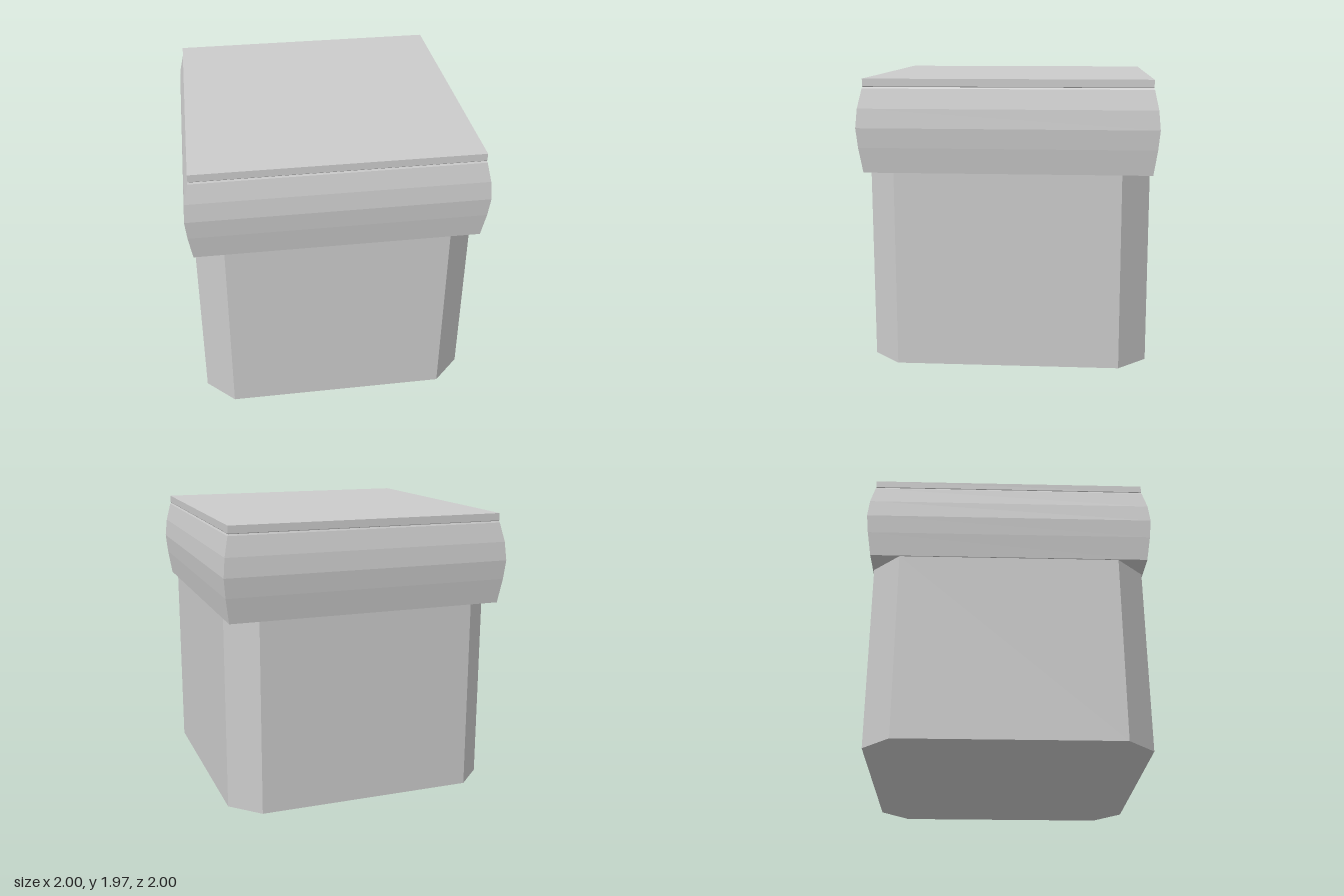
import * as THREE from 'three';

const material = new THREE.MeshStandardMaterial({ color: 0xcccccc, flatShading: true });

// Square solid with mitred corners, from a [half width, height] profile running bottom to top
function squareLathe(profile) {
  const points = profile.map(([half, y]) => new THREE.Vector2(half * Math.SQRT2, y));
  const geometry = new THREE.LatheGeometry(points, 4, Math.PI / 4).toNonIndexed();
  geometry.computeVertexNormals();
  return geometry;
}

// Upright prism with a square plan and chamfered corners
function chamferedPrism(half, flat, height) {
  const shape = new THREE.Shape([
    [half, -flat], [half, flat], [flat, half], [-flat, half],
    [-half, flat], [-half, -flat], [-flat, -half], [flat, -half],
  ].map(([x, y]) => new THREE.Vector2(x, y)));
  const geometry = new THREE.ExtrudeGeometry(shape, { depth: height, bevelEnabled: false });
  return geometry.rotateX(-Math.PI / 2);
}

export function createModel() {
  const group = new THREE.Group();
  group.name = 'pedestal';

  const body = new THREE.Mesh(chamferedPrism(0.955, 0.762, 1.34), material);
  body.name = 'body';

  // Bulging moulding with a narrow ledge and a straight lip on top
  const cap = new THREE.Mesh(squareLathe([
    [0, 1.34], [0.963, 1.34], [0.988, 1.51], [1, 1.642], [0.988, 1.77],
    [0.959, 1.9], [0.953, 1.911], [0.956, 1.915], [0.956, 1.965], [0, 1.965],
  ]), material);
  cap.name = 'cap';

  group.add(body, cap);
  return group;
}
